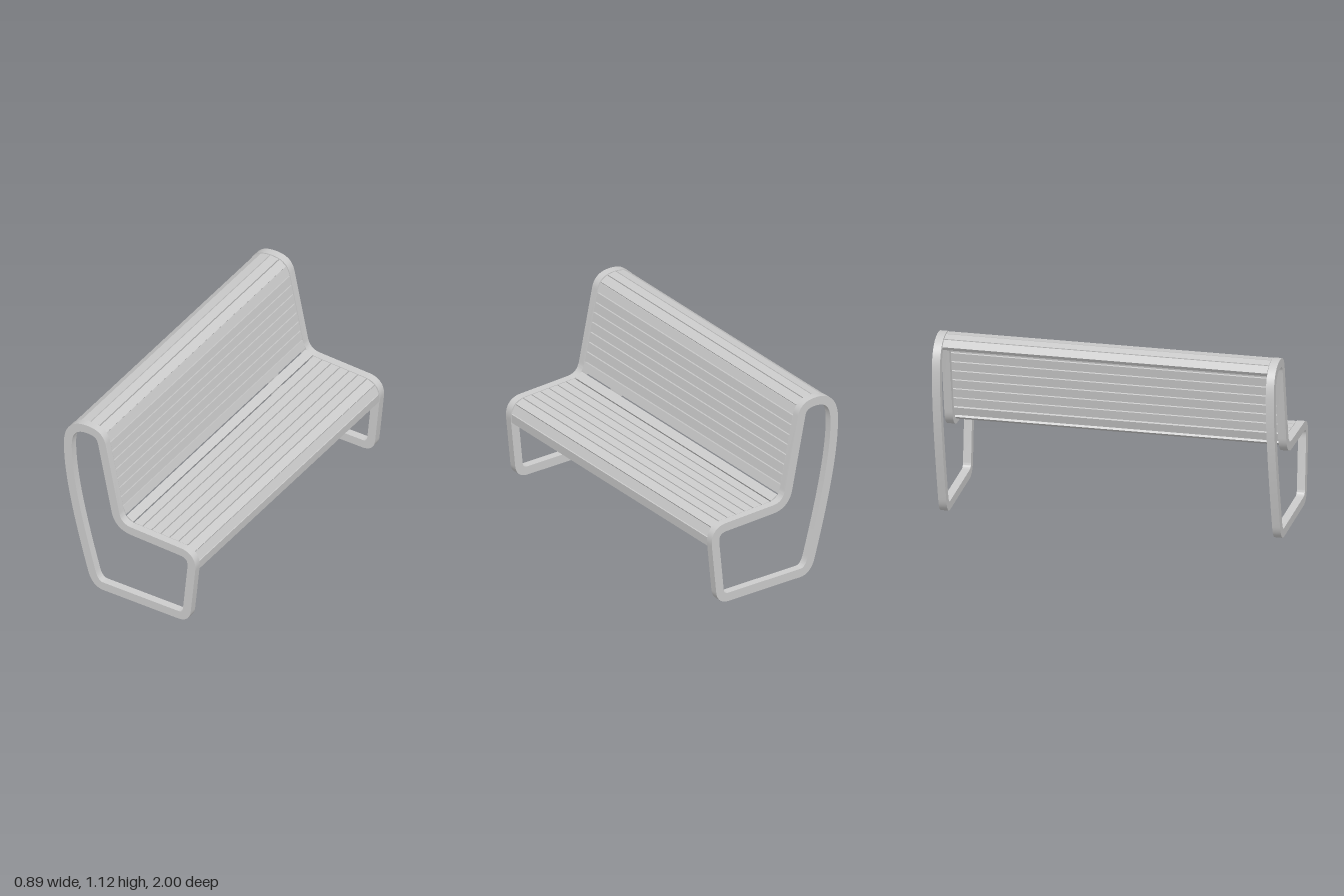
import * as THREE from 'three';
import { toCreasedNormals } from 'three/addons/utils/BufferGeometryUtils.js';

const BAND = 0.053;        // width of the frame band
const FRAME_DEPTH = 0.047; // thickness of each end frame
const SLAT_PITCH = 0.062;
const SLAT_GAP = 0.007;
const SLAT_THICKNESS = 0.026;

// Centreline of the end frame, counter-clockwise from the floor bar
function frameCentreline() {
  const p = new THREE.Path();
  p.moveTo(-0.18, 0.0275);
  p.lineTo(0.325, 0.0275);
  p.quadraticCurveTo(0.38, 0.0275, 0.386, 0.082);      // front foot
  p.lineTo(0.4165, 0.385);
  p.quadraticCurveTo(0.425, 0.475, 0.342, 0.4785);     // front lip
  p.lineTo(0.012, 0.4915);
  p.quadraticCurveTo(-0.079, 0.495, -0.0975, 0.584);   // seat to backrest
  p.lineTo(-0.19, 1.03);
  p.bezierCurveTo(-0.203, 1.09, -0.25, 1.0945, -0.29, 1.0945); // top roll
  p.bezierCurveTo(-0.37, 1.0945, -0.42, 1.05, -0.42, 0.94);
  p.bezierCurveTo(-0.42, 0.74, -0.36, 0.47, -0.258, 0.11);     // rear leg
  p.quadraticCurveTo(-0.236, 0.0275, -0.18, 0.0275);
  const pts = p.getPoints(14);
  pts.pop(); // closing point repeats the first
  return pts;
}

// Shift a closed outline sideways; positive is outwards
function offsetLoop(pts, d) {
  const n = pts.length;
  return pts.map((p, i) => {
    const a = p.clone().sub(pts[(i + n - 1) % n]).normalize();
    const b = pts[(i + 1) % n].clone().sub(p).normalize();
    const t = a.add(b).normalize();
    return new THREE.Vector2(p.x + t.y * d, p.y - t.x * d);
  });
}

export function createModel() {
  const bench = new THREE.Group();
  bench.name = 'bench';
  const material = new THREE.MeshStandardMaterial({ color: 0xcccccc });

  const centre = frameCentreline();
  const outer = offsetLoop(centre, BAND / 2);
  const inner = offsetLoop(centre, -BAND / 2);

  // End frames: one looped band at each end
  const shape = new THREE.Shape(outer);
  shape.holes.push(new THREE.Path(inner));
  const frameGeometry = toCreasedNormals(
    new THREE.ExtrudeGeometry(shape, { depth: FRAME_DEPTH, bevelEnabled: false }), 0.6);
  for (const [name, z] of [['leftEndFrame', -1], ['rightEndFrame', 1 - FRAME_DEPTH]]) {
    const frame = new THREE.Mesh(frameGeometry, material);
    frame.name = name;
    frame.position.z = z;
    bench.add(frame);
  }

  // Slats: evenly spaced from the front lip, over the seat and back, to the top roll
  const first = outer.findIndex((p) => p.y > 0.37);
  const last = outer.findIndex((p) => p.x < -0.395 && p.y > 1);
  const run = [new THREE.Vector2(0.4405, 0.365), ...outer.slice(first, last + 1)];
  const slatPath = new THREE.Path().setFromPoints(run);
  const count = Math.round(slatPath.getLength() / SLAT_PITCH);
  const marks = slatPath.getSpacedPoints(count);

  const slats = new THREE.Group();
  slats.name = 'slats';
  for (let i = 0; i < count; i++) {
    const a = marks[i], b = marks[i + 1];
    const dir = b.clone().sub(a);
    const width = dir.length() - SLAT_GAP;
    dir.normalize();
    const slat = new THREE.Mesh(
      new THREE.BoxGeometry(width, SLAT_THICKNESS, 1.9), material);
    slat.name = 'slat' + (i + 1);
    const inset = SLAT_THICKNESS / 2 + 0.001;
    slat.position.set(
      (a.x + b.x) / 2 - dir.y * inset, (a.y + b.y) / 2 + dir.x * inset, 0);
    slat.rotation.z = Math.atan2(dir.y, dir.x);
    slats.add(slat);
  }
  bench.add(slats);
  return bench;
}
